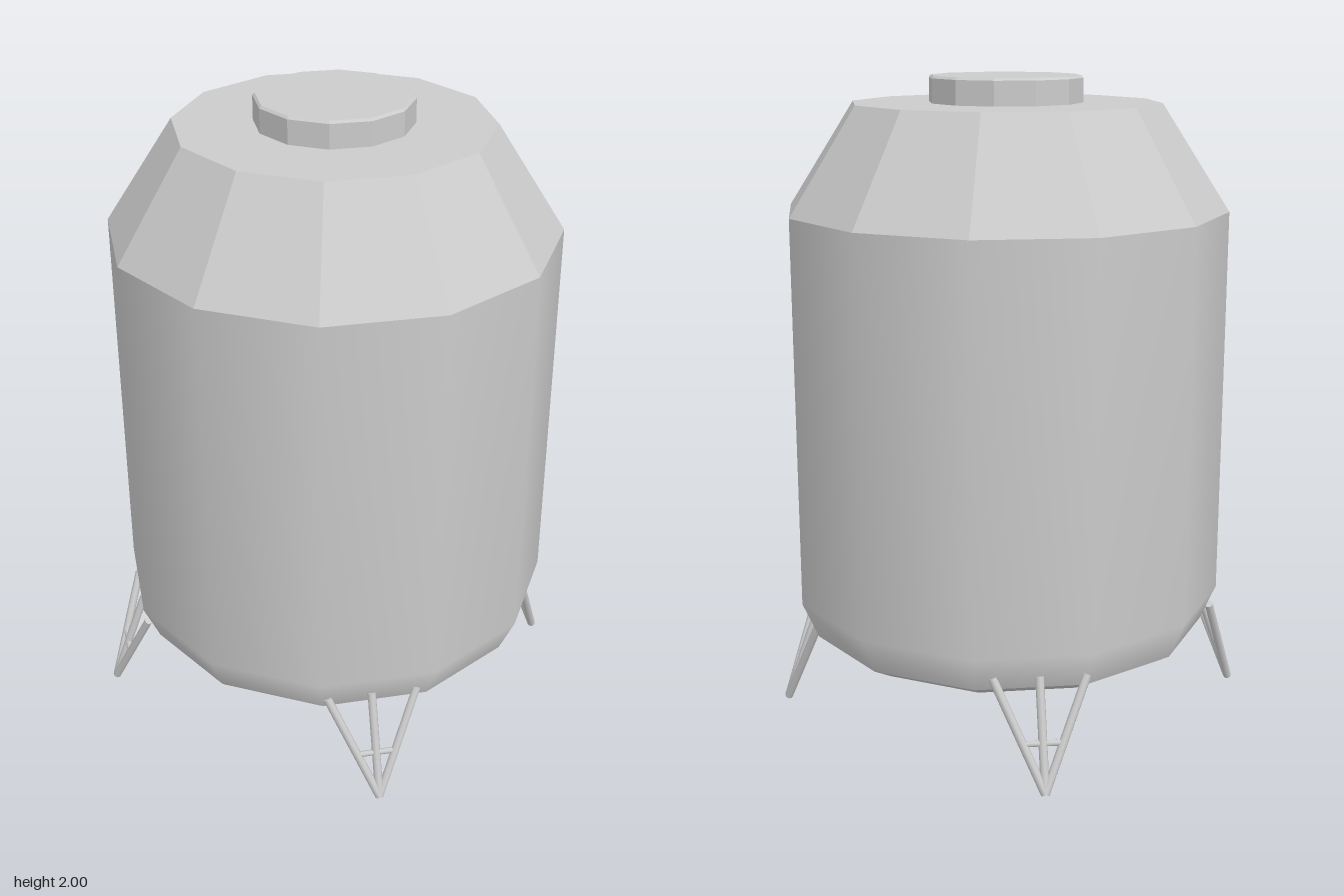
import * as THREE from 'three';
import { toCreasedNormals } from 'three/addons/utils/BufferGeometryUtils.js';

const SIDES = 12;
const smooth = new THREE.MeshStandardMaterial({ color: 0xcccccc });
const flat = new THREE.MeshStandardMaterial({ color: 0xcccccc, flatShading: true });

// Twelve-sided turned part from [radius, height] pairs, bottom to top
function turned(name, profile, material, crease) {
  let geometry = new THREE.LatheGeometry(profile.map(([r, y]) => new THREE.Vector2(r, y)), SIDES);
  if (crease) geometry = toCreasedNormals(geometry, crease);
  const mesh = new THREE.Mesh(geometry, material);
  mesh.name = name;
  return mesh;
}

// Round bar between two points
function bar(name, a, b, radius) {
  const dir = b.clone().sub(a);
  const mesh = new THREE.Mesh(new THREE.CylinderGeometry(radius, radius, dir.length(), 8), smooth);
  mesh.position.copy(a).add(b).multiplyScalar(0.5);
  mesh.quaternion.setFromUnitVectors(new THREE.Vector3(0, 1, 0), dir.normalize());
  mesh.name = name;
  return mesh;
}

// Three struts fanning up from one foot, tied by a cross bar
function leg(name, sx, sz) {
  const group = new THREE.Group();
  group.name = name;
  const at = (x, y, z) => new THREE.Vector3(sx * x - 0.012, y, sz * z + 0.015);
  const foot = at(0.525, 0.008, 0.513);
  const tops = [at(0.545, 0.325, 0.34), at(0.445, 0.325, 0.437), at(0.347, 0.325, 0.533)];
  tops.forEach((top) => group.add(bar('strut', foot, top, 0.013)));
  const ties = tops.map((top) => foot.clone().lerp(top, 0.43));
  group.add(bar('crossBar', ties[0], ties[1], 0.009), bar('crossBar', ties[1], ties[2], 0.009));
  return group;
}

export function createModel() {
  const model = new THREE.Group();
  model.name = 'tank';

  // Shell: smooth wall rounding in at the lower edge, with a shallow base
  model.add(turned('wall', [[0.63, 0.285], [0.68, 0.4], [0.68, 1.6]], smooth));
  model.add(turned('base', [[0, 0.245], [0.56, 0.245], [0.63, 0.285]], smooth, 0.7));

  // Faceted shoulder and flat roof
  model.add(turned('shoulder', [[0.68, 1.6], [0.473, 1.92], [0, 1.92]], flat));

  // Hatch with a small bevel
  model.add(turned('hatch', [[0.235, 1.92], [0.235, 1.993], [0.228, 2], [0, 2]], flat));

  // Four legs at the corners
  model.add(leg('frontLeftLeg', 1, 1), leg('frontRightLeg', -1, 1));
  model.add(leg('backLeftLeg', 1, -1), leg('backRightLeg', -1, -1));
  return model;
}
